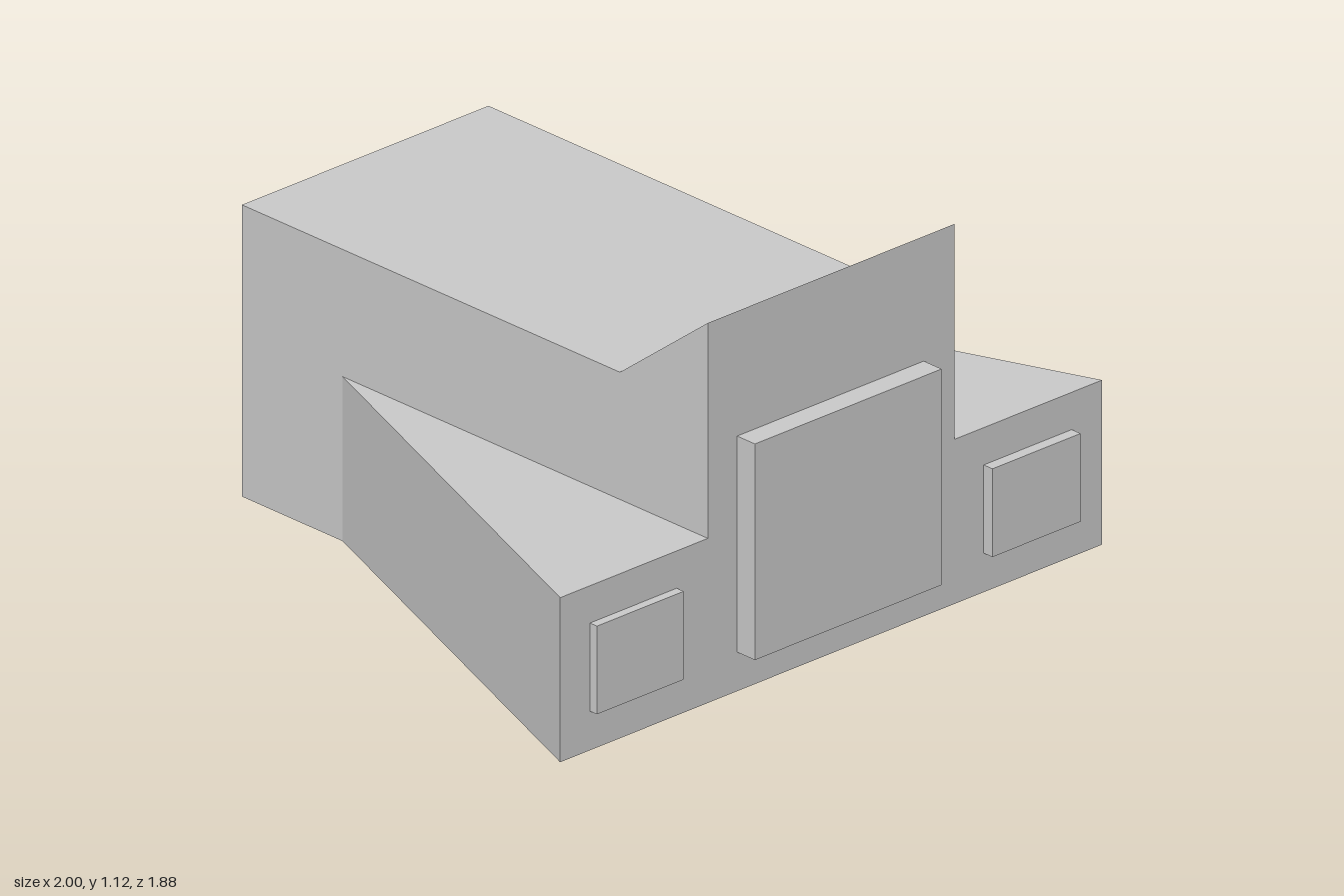
import * as THREE from 'three';

const FRONT = 0.866;
const HALF = 0.455;

export function createModel() {
  const model = new THREE.Group();
  model.name = 'building';
  const material = new THREE.MeshStandardMaterial({ color: 0xcccccc, flatShading: true });

  const add = (name, geometry) => {
    const mesh = new THREE.Mesh(geometry, material);
    mesh.name = name;
    model.add(mesh);
  };
  const extrude = (points, depth) => new THREE.ExtrudeGeometry(
    new THREE.Shape(points.map(([x, y]) => new THREE.Vector2(x, y))),
    { depth, bevelEnabled: false },
  );
  // Raised panel standing out from the front wall
  const addPanel = (name, x0, x1, y0, y1, z1) => {
    const z0 = FRONT - 0.02;
    const box = new THREE.BoxGeometry(x1 - x0, y1 - y0, z1 - z0);
    add(name, box.translate((x0 + x1) / 2, (y0 + y1) / 2, (z0 + z1) / 2));
  };

  // Main hall: side profile (z, y) with a sloping parapet at the front
  const hall = extrude(
    [[-0.94, 0], [FRONT, 0], [FRONT, 1.12], [0.525, 0.86], [-0.94, 0.86]],
    HALF * 2,
  );
  add('mainHall', hall.rotateY(-Math.PI / 2).translate(HALF, 0, 0));

  // Wedge wings: plan outline (x, -z) raised to the wing height
  for (const [side, s] of [['left', 1], ['right', -1]]) {
    const wing = extrude([[s * HALF, 0.55], [s * HALF, -FRONT], [s, -FRONT]], 0.485);
    add(side + 'Wing', wing.rotateX(-Math.PI / 2));
  }

  // Front door and wing windows
  addPanel('frontDoor', -0.347, 0.342, 0.115, 0.752, 0.935);
  addPanel('leftWindow', 0.563, 0.888, 0.115, 0.375, 0.9);
  addPanel('rightWindow', -0.89, -0.57, 0.115, 0.375, 0.893);

  return model;
}
